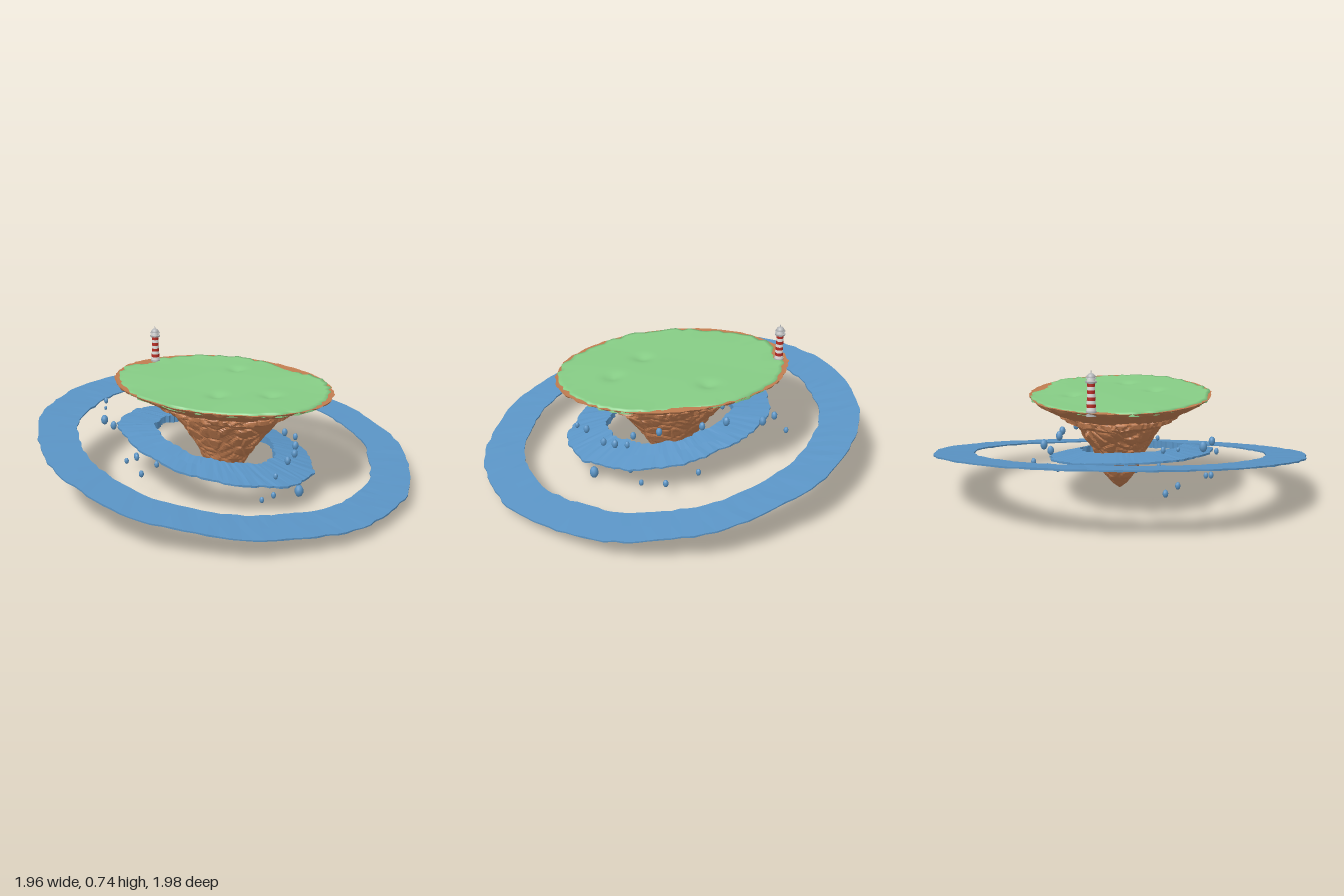
import * as THREE from 'three';

const mat = (name, color) => Object.assign(new THREE.MeshStandardMaterial({ color }), { name });

let seed = 7;
const rnd = () => {
  seed = (seed * 16807) % 2147483647;
  return seed / 2147483647;
};

// Skin over a grid of points: rows x closed columns, fn(row, angle, col) -> [x, y, z]
function loft(rows, cols, fn, { flat = true, closed = false } = {}) {
  const pos = [], idx = [];
  for (let i = 0; i < rows; i++)
    for (let j = 0; j < cols; j++) pos.push(...fn(i, (j / cols) * Math.PI * 2, j));
  const last = closed ? rows : rows - 1;
  for (let i = 0; i < last; i++)
    for (let j = 0; j < cols; j++) {
      const k = (j + 1) % cols, n = (i + 1) % rows;
      const a = i * cols + j, c = i * cols + k, b = n * cols + j, d = n * cols + k;
      idx.push(a, c, b, c, d, b);
    }
  let g = new THREE.BufferGeometry();
  g.setAttribute('position', new THREE.Float32BufferAttribute(pos, 3));
  g.setIndex(idx);
  if (flat) g = g.toNonIndexed();
  g.computeVertexNormals();
  return g;
}

// Piecewise linear profile lookup, t in 0..1
function sample(profile, t) {
  const f = t * (profile.length - 1), i = Math.min(Math.floor(f), profile.length - 2);
  return profile[i].map((v, k) => v + (profile[i + 1][k] - v) * (f - i));
}

export function createModel() {
  const root = new THREE.Group();
  const grass = mat('grassGreen', 0x86cc85);
  const rock = mat('earthBrown', 0xc07c50);
  const blue = mat('ringBlue', 0x5a94c5);
  const red = mat('stripeRed', 0xb52a22);
  const white = mat('towerWhite', 0xe2e2e0);
  const grey = mat('roofGrey', 0xb4b6b8);
  const add = (name, geo, m, parent = root) => {
    const mesh = new THREE.Mesh(geo, m);
    mesh.name = name;
    parent.add(mesh);
    return mesh;
  };
  const CX = -0.005, CZ = -0.02;

  // Rim plate: ragged dish with radial ridges underneath
  const dish = [[0.38, 0.5, 0.545], [0.465, 0.612, 0.548], [0.475, 0.625, 0.55], [0.462, 0.605, 0.537],
    [0.41, 0.535, 0.508], [0.36, 0.455, 0.478], [0.31, 0.39, 0.455], [0.2, 0.28, 0.44]];
  const ridge = Array.from({ length: 110 }, () => rnd() - 0.5);
  add('islandRim', loft(dish.length, 110, (i, t, j) => {
    const [rx, rz, y] = dish[i];
    const k = 1 + (i > 2 ? 0.035 : 0.022) * ridge[j] + (i > 2 ? 0.03 * (rnd() - 0.5) : 0);
    return [CX + Math.cos(t) * rx * k, y + (i > 2 ? 0.012 * ridge[(j + i * 3) % 110] : 0), CZ + Math.sin(t) * rz * k];
  }), rock);

  // Rocky underside: cone of rounded boulders made by cell-shaped bulges
  const cone = [[0.29, 0.37, 0.475], [0.318, 0.405, 0.45], [0.305, 0.4, 0.425], [0.235, 0.34, 0.4], [0.205, 0.3, 0.35],
    [0.175, 0.255, 0.3], [0.145, 0.215, 0.25], [0.115, 0.17, 0.19], [0.085, 0.125, 0.12], [0.04, 0.06, 0.065], [0.001, 0.001, 0.035]];
  const onCone = (v, t) => {
    const [rx, rz, y] = sample(cone, v);
    return new THREE.Vector3(Math.cos(t) * rx, y, Math.sin(t) * rz);
  };
  const cells = Array.from({ length: 190 }, () => ({ p: onCone(Math.pow(rnd(), 1.3), rnd() * Math.PI * 2), h: rnd() }));
  add('islandUnderside', loft(56, 150, (i, t) => {
    const p = onCone(i / 55, t);
    let d1 = 9, d2 = 9, h = 0;
    for (const c of cells) {
      const d = p.distanceTo(c.p);
      if (d < d1) { d2 = d1; d1 = d; h = c.h; } else if (d < d2) d2 = d;
    }
    const groove = Math.min(1, (d2 - d1) / 0.02);
    const k = 0.95 + 0.05 * groove + 0.04 * (h - 0.5) * groove;
    return [p.x * k, p.y, -0.01 + p.z * k];
  }), rock);

  // Grass top with three shallow hollows and a ragged edge
  const hollows = [[0.24, -0.11], [-0.18, 0.09], [-0.02, 0.31]];
  const cols = 100, rows = 26;
  const edge = Array.from({ length: cols }, (_, j) => {
    const t = (j / cols) * Math.PI * 2;
    const bare = 0.05 * Math.exp(-(((t - 0.3) / 0.2) ** 2)) + 0.05 * Math.exp(-(((t - 4.8) / 0.25) ** 2));
    return 0.965 - 0.01 * Math.sin(t * 5 + 1) + 0.04 * (rnd() - 0.5) - bare;
  });
  add('grassTop', loft(rows + 1, cols, (i, t, j) => {
    const s = Math.min(i / (rows - 1), 1);
    const k = s * (1 + (edge[j] - 1) * s ** 4);
    const x = CX + Math.cos(t) * 0.475 * k, z = CZ + Math.sin(t) * 0.625 * k;
    let y = 0.552 + 0.003 * Math.sin(x * 9) * Math.cos(z * 8) + 0.008 * (edge[j] - 0.95) / 0.02 * s ** 10 * 0.4;
    for (const [hx, hz] of hollows) y -= 0.018 * Math.exp(-((x - hx) ** 2 + (z - hz) ** 2) / 0.0018);
    return [x, i === rows ? 0.535 : y, z];
  }, { flat: false }), grass);

  // Tilted rings: wedge cross-section, outer edge thin
  const ring = (name, cx, cz, outer, inner, cy, slopeX, slopeZ, tOut, tIn, rough) => {
    const n = 120;
    const wob = [0, 1].map(() => Array.from({ length: n }, (_, j) =>
      rough * (rnd() - 0.5 + 0.7 * Math.sin(j * 0.42) * Math.sin(j * 0.157 + 2))));
    const mid = outer.map((o, k) => (o + inner[k]) / 2);
    const section = [[outer, tOut, 0], [outer, -tOut, 0], [mid, -tOut, 2], [inner, -tOut, 1],
      [inner, tIn, 1], [mid, (tOut + tIn) / 2, 2]];
    add(name, loft(section.length, n, (i, t, j) => {
      const [r, h, w] = section[i];
      const k = w < 2 ? wob[w][j] : 0.02 * (rnd() - 0.5);
      const x = cx + Math.cos(t) * (r[0] + k), z = cz + Math.sin(t) * (r[1] + k);
      return [x, cy + slopeX * (x - cx) + slopeZ * (z - cz) + h + 0.003 * (rnd() - 0.5), z];
    }, { closed: true }), blue);
  };
  ring('outerRing', 0, 0, [0.978, 0.992], [0.772, 0.782], 0.224, 0, -0.145, 0.004, 0.004, 0.012);
  ring('innerRing', -0.06, -0.02, [0.428, 0.56], [0.265, 0.345], 0.225, -0.05, -0.132, 0.005, 0.035, 0.016);

  // Floating stones: x, y, z, radius
  const stones = [
    [0.045, 0.042, 0.45, 0.026], [-0.07, 0.035, 0.37, 0.014], [-0.2, 0.06, 0.39, 0.013], [0.14, 0.075, 0.28, 0.017],
    [0.28, 0.075, 0.27, 0.014], [0.355, 0.09, 0.165, 0.016], [0.39, 0.14, 0, 0.015], [0.39, 0.285, -0.49, 0.014],
    [0.355, 0.345, -0.37, 0.021], [0.31, 0.335, -0.46, 0.018], [0.3, 0.35, -0.19, 0.02], [0.3, 0.35, -0.055, 0.018],
    [0.25, 0.335, 0.16, 0.018], [0.165, 0.29, 0.27, 0.017], [0.2, 0.265, 0.315, 0.015], [0.135, 0.245, 0.36, 0.019],
    [0.07, 0.23, 0.4, 0.018], [-0.065, 0.245, 0.45, 0.018], [-0.19, 0.205, 0.465, 0.013], [-0.31, 0.14, -0.36, 0.015],
    [-0.25, 0.115, -0.42, 0.016], [-0.43, 0.365, -0.47, 0.021], [-0.24, 0.385, -0.645, 0.013], [-0.31, 0.375, -0.58, 0.009],
    [-0.475, 0.37, -0.36, 0.018], [-0.48, 0.15, -0.17, 0.015], [-0.51, 0.245, -0.035, 0.014], [-0.45, 0.18, -0.3, 0.013],
  ];
  const stoneGroup = new THREE.Group();
  stoneGroup.name = 'floatingStones';
  root.add(stoneGroup);
  stones.forEach(([x, y, z, r], n) => {
    const s = add('stone' + (n + 1), new THREE.IcosahedronGeometry(r, 1), blue, stoneGroup);
    s.position.set(x, y, z);
    s.scale.set(0.9, 1.3, 0.9);
    s.rotation.set(0, n * 1.3, 0);
  });

  // Striped lighthouse
  const tower = new THREE.Group();
  tower.name = 'lighthouse';
  tower.position.set(0.1, 0.55, -0.58);
  root.add(tower);
  const drum = (name, rTop, rBottom, y0, y1, m) => {
    add(name, new THREE.CylinderGeometry(rTop, rBottom, y1 - y0, 20), m, tower).position.y = (y0 + y1) / 2;
  };
  drum('base', 0.025, 0.026, -0.02, 0.006, grey);
  const bands = 8, h = 0.132 / bands, radius = (i) => 0.0225 - 0.0006 * i;
  for (let i = 0; i < bands; i++)
    drum(i % 2 ? 'redBand' : 'whiteBand', radius(i + 1), radius(i), 0.006 + i * h, 0.006 + (i + 1) * h, i % 2 ? red : white);
  drum('gallery', 0.028, 0.026, 0.138, 0.147, grey);
  drum('lampRoom', 0.019, 0.019, 0.147, 0.16, white);
  drum('roofEdge', 0.025, 0.027, 0.16, 0.164, grey);
  const dome = new THREE.SphereGeometry(0.022, 20, 8, 0, Math.PI * 2, 0, Math.PI / 2);
  add('roofDome', dome, grey, tower).position.y = 0.163;
  drum('finial', 0.001, 0.004, 0.182, 0.198, grey);

  return root;
}
